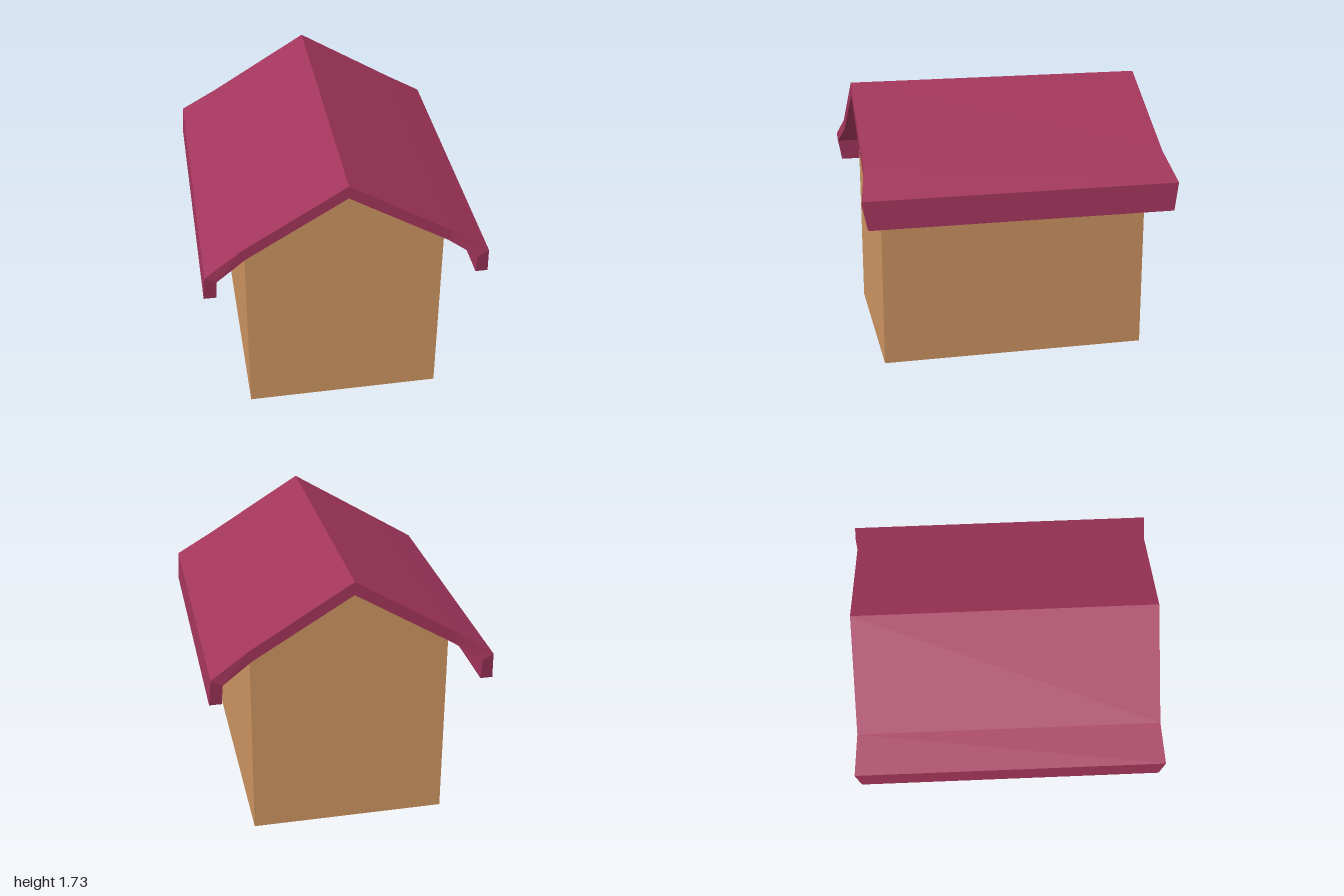
import * as THREE from 'three';

const wallTan = new THREE.MeshStandardMaterial({ color: 0xcb9360, flatShading: true });
wallTan.name = 'wallTan';
const roofBerry = new THREE.MeshStandardMaterial({ color: 0xa2355b, flatShading: true });
roofBerry.name = 'roofBerry';

// Gabled body, extruded along z
function makeWalls() {
  const gable = new THREE.Shape([
    [-0.625, 0], [0.625, 0], [0.625, 1.265], [0, 1.645], [-0.625, 1.265],
  ].map(([x, y]) => new THREE.Vector2(x, y)));
  const geometry = new THREE.ExtrudeGeometry(gable, { depth: 1.73, bevelEnabled: false });
  geometry.translate(0, 0, -0.865);
  const mesh = new THREE.Mesh(geometry, wallTan);
  mesh.name = 'walls';
  return mesh;
}

// Bent roof shell: each point is [x, y, half length], ridge to eave lip
function makeRoof() {
  const mirror = (half) => [
    ...half.slice(1).reverse().map(([x, y, z]) => [-x, y, z]),
    ...half,
  ];
  const outer = mirror([[0, 1.73, 0.965], [0.65, 1.33, 0.965], [0.88, 1.18, 1], [0.893, 1, 0.972]]);
  const inner = mirror([[0, 1.645, 0.965], [0.625, 1.265, 0.965], [0.81, 1.14, 1], [0.815, 1, 0.972]]);

  const positions = [];
  const quad = (a, b, c, d) => positions.push(...a, ...b, ...c, ...a, ...c, ...d);
  const back = ([x, y, z]) => [x, y, -z];

  // Top, underside and lip bottoms
  const ring = [...outer, ...inner.slice().reverse()];
  ring.forEach((a, i) => {
    const b = ring[(i + 1) % ring.length];
    quad(a, b, back(b), back(a));
  });

  // Front and back edges
  for (let i = 0; i < outer.length - 1; i++) {
    const edge = [inner[i], inner[i + 1], outer[i + 1], outer[i]];
    quad(...edge);
    quad(...edge.map(back).reverse());
  }

  const geometry = new THREE.BufferGeometry();
  geometry.setAttribute('position', new THREE.Float32BufferAttribute(positions, 3));
  geometry.computeVertexNormals();
  const mesh = new THREE.Mesh(geometry, roofBerry);
  mesh.name = 'roof';
  return mesh;
}

export function createModel() {
  const house = new THREE.Group();
  house.name = 'house';
  house.add(makeWalls(), makeRoof());
  return house;
}
